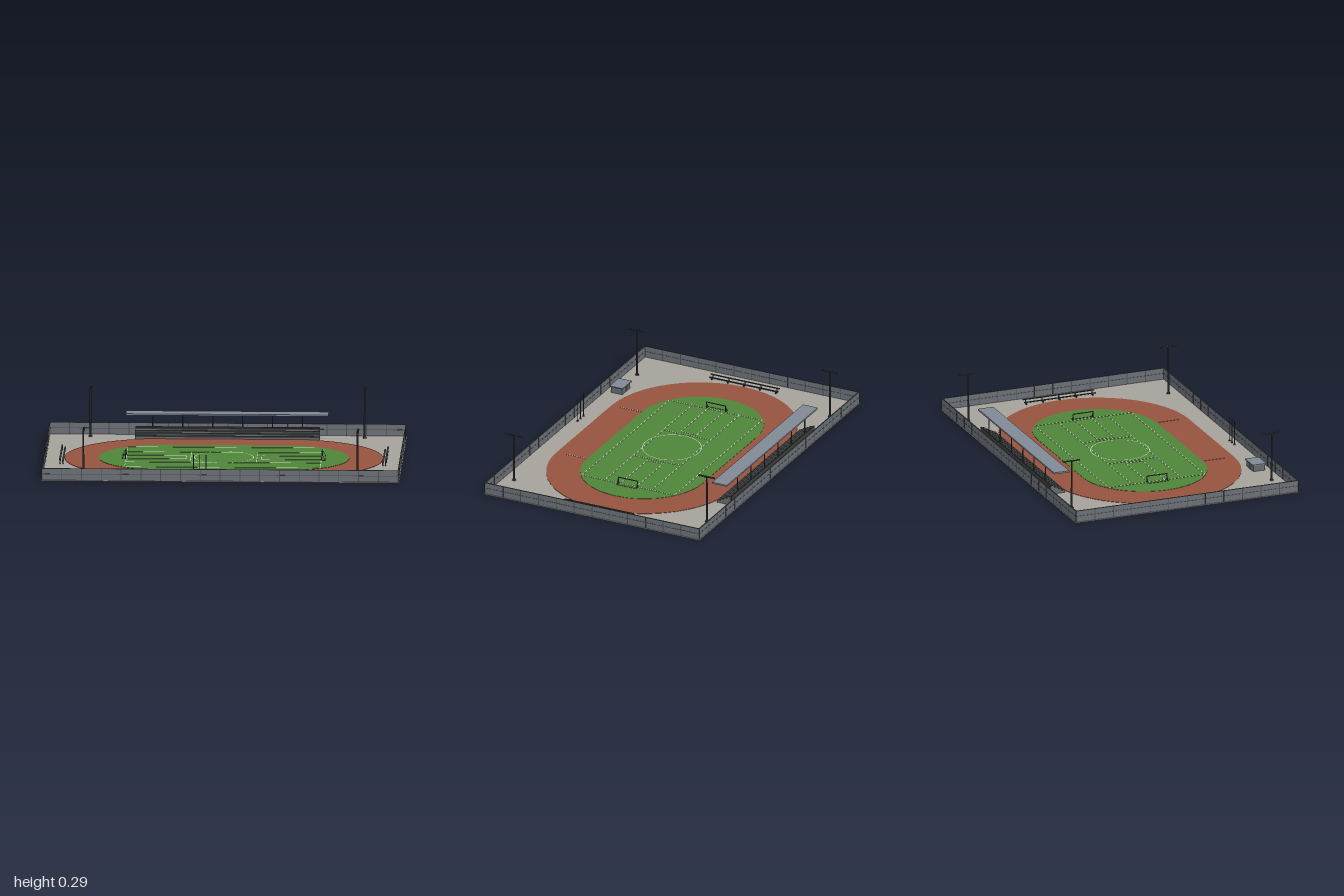
import * as THREE from 'three';

const mat = (color) => new THREE.MeshStandardMaterial({ color, flatShading: true });
const M = {
  paving: mat(0xa5a29a), track: mat(0x96523f), grass: mat(0x4e8439), line: mat(0xc3d3b4),
  fence: mat(0x6a6f75), post: mat(0x4a4d50), dark: mat(0x3c3d3f), roof: mat(0x7f8894),
  seat: mat(0x66696c),
};

function group(name, parent) {
  const g = new THREE.Group();
  g.name = name;
  parent.add(g);
  return g;
}

// Box given by centre x, z and bottom y
function box(parent, name, m, w, h, d, x, y, z) {
  const mesh = new THREE.Mesh(new THREE.BoxGeometry(w, h, d), m);
  mesh.name = name;
  mesh.position.set(x, y + h / 2, z);
  parent.add(mesh);
  return mesh;
}

function pole(parent, name, m, r, h, x, y, z) {
  const mesh = new THREE.Mesh(new THREE.CylinderGeometry(r * 0.8, r, h, 8), m);
  mesh.name = name;
  mesh.position.set(x, y + h / 2, z);
  parent.add(mesh);
  return mesh;
}

// Flat slab with two straight sides and two half-round ends
function stadium(parent, name, m, straight, r, y, h) {
  const s = new THREE.Shape();
  s.absarc(straight, 0, r, -Math.PI / 2, Math.PI / 2, false);
  s.absarc(-straight, 0, r, Math.PI / 2, Math.PI * 1.5, false);
  const geo = new THREE.ExtrudeGeometry(s, { depth: h, bevelEnabled: false, curveSegments: 12 });
  geo.rotateX(-Math.PI / 2);
  const mesh = new THREE.Mesh(geo, m);
  mesh.name = name;
  mesh.position.y = y;
  parent.add(mesh);
}

function addMarkings(parent) {
  const g = group('fieldMarkings', parent);
  const t = 0.004, y = 0.0065, h = 0.0015;
  const alongX = (x0, x1, z) => box(g, 'line', M.line, x1 - x0, h, t, (x0 + x1) / 2, y, z);
  const alongZ = (x, z0, z1) => box(g, 'line', M.line, t, h, z1 - z0, x, y, (z0 + z1) / 2);
  for (const s of [-1, 1]) {
    alongX(-0.545, 0.545, s * 0.29);
    alongX(-0.545, 0.545, s * 0.147);
    alongZ(s * 0.545, -0.29, 0.29);
    alongZ(s * 0.185, -0.147, 0.147);
    alongZ(s * 0.21, -0.05, 0.05);
    for (const z of [-0.05, 0.05]) alongX(s > 0 ? 0.21 : -0.545, s > 0 ? 0.545 : -0.21, z);
    alongZ(s * 0.34, 0.36, 0.495); // start and finish lines on the track
  }
  const circle = new THREE.Mesh(new THREE.RingGeometry(0.163, 0.167, 40), M.line);
  circle.name = 'centreCircle';
  circle.rotation.x = -Math.PI / 2;
  circle.position.y = y + h;
  g.add(circle);
}

// Perimeter fence: panels, posts and rails on all four sides
function addFence(parent) {
  const g = group('fence', parent);
  const X = 0.994, Z = 0.667, y = 0.004, h = 0.066;
  for (const s of [-1, 1]) {
    box(g, 'longPanel', M.fence, 2 * X, h, 0.004, 0, y, s * Z);
    box(g, 'endPanel', M.fence, 0.004, h, 2 * Z, s * X, y, 0);
    for (const ry of [0.037, 0.068]) {
      box(g, 'longRail', M.post, 2 * X, 0.003, 0.006, 0, ry, s * Z);
      box(g, 'endRail', M.post, 0.006, 0.003, 2 * Z, s * X, ry, 0);
    }
    for (let i = 0; i <= 18; i++) box(g, 'post', M.post, 0.005, h, 0.006, -X + (i * 2 * X) / 18, y, s * Z);
    for (let i = 1; i < 12; i++) box(g, 'post', M.post, 0.006, h, 0.005, s * X, y, -Z + (i * 2 * Z) / 12);
  }
}

// Covered main stand along the back
function addMainStand(parent) {
  const g = group('mainStand', parent);
  const rows = 4, depth = 0.021;
  for (let i = 0; i < rows; i++) {
    const z = -0.55 - i * depth, top = 0.014 + i * 0.011;
    box(g, 'step', M.seat, 1.03, top, depth, 0, 0.003, z);
    box(g, 'bench', M.dark, 1.03, 0.004, 0.009, 0, top + 0.003, z - 0.003);
  }
  box(g, 'backWall', M.dark, 1.03, 0.055, 0.005, 0, 0.003, -0.628);
  for (let i = 0; i < 6; i++) pole(g, 'roofPost', M.dark, 0.004, 0.136, -0.4175 + i * 0.167, 0.003, -0.619);
  box(g, 'roof', M.roof, 1.13, 0.009, 0.092, 0, 0.138, -0.58);
}

// Small open bleachers at both ends
function addBleacher(parent, s) {
  const g = group('endBleacher', parent);
  [0.893, 0.909].forEach((x, i) => {
    const top = 0.016 + i * 0.012;
    box(g, 'bench', M.dark, 0.009, 0.004, 0.43, s * x, top, 0);
    for (let k = 0; k < 5; k++) box(g, 'leg', M.dark, 0.005, top - 0.003, 0.005, s * x, 0.003, -0.2 + k * 0.1);
  });
}

// Floodlight mast with a lamp bar running front to back
function addFloodlight(parent, x, z) {
  const g = group('floodlight', parent);
  pole(g, 'foot', M.dark, 0.011, 0.008, x, 0.003, z);
  pole(g, 'mast', M.dark, 0.0055, 0.279, x, 0.003, z);
  box(g, 'lampBar', M.dark, 0.005, 0.005, 0.1, x, 0.279, z);
  for (let i = 0; i < 6; i++) {
    const lamp = box(g, 'lamp', M.dark, 0.009, 0.007, 0.011, x + 0.004, 0.278, z - 0.045 + i * 0.018);
    lamp.rotation.z = -0.35;
  }
}

// Goal frame with sloping rear stays
function addGoal(parent, s) {
  const g = group('goal', parent);
  const x = s * 0.547, w = 0.06, h = 0.038;
  for (const z of [-w, w]) {
    pole(g, 'goalPost', M.dark, 0.0025, h, x, 0.006, z);
    const stay = pole(g, 'stay', M.dark, 0.0015, 0.043, x + s * 0.01, 0.0035, z);
    stay.rotation.z = s * 0.48;
    box(g, 'groundBar', M.dark, 0.02, 0.002, 0.002, x + s * 0.01, 0.006, z);
  }
  box(g, 'crossbar', M.dark, 0.004, 0.004, 2 * w + 0.004, x, 0.042, 0);
  box(g, 'rearBar', M.dark, 0.002, 0.002, 2 * w, x + s * 0.02, 0.006, 0);
}

export function createModel() {
  const model = new THREE.Group();
  model.name = 'sportsGround';

  box(model, 'paving', M.paving, 2, 0.003, 1.345, 0, 0, 0);
  stadium(model, 'runningTrack', M.track, 0.34, 0.55, 0.002, 0.003);
  stadium(model, 'grassField', M.grass, 0.34, 0.36, 0.003, 0.0035);
  addMarkings(model);
  addFence(model);
  addMainStand(model);

  for (const s of [-1, 1]) {
    addBleacher(model, s);
    addGoal(model, s);
    for (const t of [-1, 1]) addFloodlight(model, s * 0.765, t * 0.602);
  }

  // Equipment shed with a flat roof
  const shed = group('shed', model);
  box(shed, 'shedWalls', M.seat, 0.1, 0.036, 0.07, -0.547, 0.003, 0.595);
  box(shed, 'shedRoof', M.roof, 0.114, 0.006, 0.082, -0.547, 0.039, 0.595);
  box(shed, 'shedDoor', M.dark, 0.022, 0.026, 0.002, -0.547, 0.003, 0.56);

  // Row of flagpoles by the front fence
  const flags = group('flagpoles', model);
  for (const x of [-0.15, -0.115, -0.08]) {
    pole(flags, 'flagpole', M.dark, 0.0025, 0.142, x, 0.003, 0.628);
    box(flags, 'flagpoleFoot', M.dark, 0.009, 0.004, 0.009, x, 0.003, 0.628);
  }
  return model;
}
